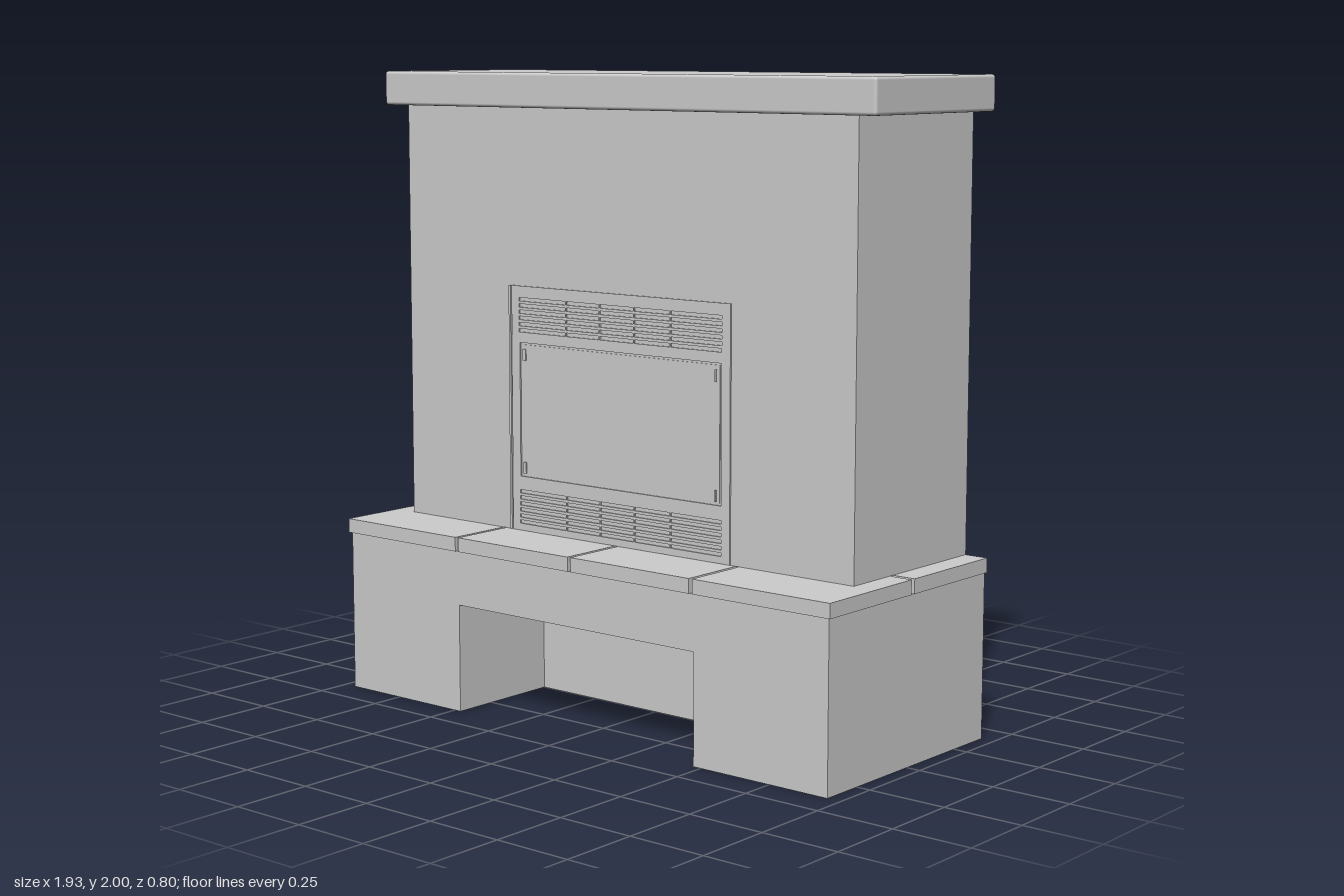
import * as THREE from 'three';
import { RoundedBoxGeometry } from 'three/addons/geometries/RoundedBoxGeometry.js';

const material = new THREE.MeshStandardMaterial({ color: 0xcccccc });

function addMesh(parent, name, geometry, x = 0, y = 0, z = 0) {
  const mesh = new THREE.Mesh(geometry, material);
  mesh.name = name;
  mesh.position.set(x, y, z);
  parent.add(mesh);
  return mesh;
}

// Box given by its limits on each axis
function addBox(parent, name, [x0, x1], [y0, y1], [z0, z1]) {
  return addMesh(parent, name, new THREE.BoxGeometry(x1 - x0, y1 - y0, z1 - z0),
    (x0 + x1) / 2, (y0 + y1) / 2, (z0 + z1) / 2);
}

function rectPoints(x0, x1, y0, y1) {
  return [[x0, y0], [x1, y0], [x1, y1], [x0, y1]].map(([x, y]) => new THREE.Vector2(x, y));
}

function plate(shape, depth) {
  return new THREE.ExtrudeGeometry(shape, { depth, bevelEnabled: false });
}

export function createModel() {
  const model = new THREE.Group();
  model.name = 'fireplace';

  // Plinth: solid rear half, front half with a log niche
  const base = new THREE.Group();
  base.name = 'base';
  model.add(base);
  addBox(base, 'baseRear', [-0.957, 0.955], [0, 0.515], [-0.4, 0]);
  const arch = new THREE.Shape([
    [-0.957, 0], [-0.475, 0], [-0.475, 0.343], [0.472, 0.343],
    [0.472, 0], [0.955, 0], [0.955, 0.515], [-0.957, 0.515],
  ].map(([x, y]) => new THREE.Vector2(x, y)));
  addMesh(base, 'baseFront', plate(arch, 0.392));

  // Hearth slabs in a four by two grid with open joints
  const hearth = new THREE.Group();
  hearth.name = 'hearth';
  model.add(hearth);
  const columns = [[-0.965, -0.482], [-0.47, -0.011], [0.001, 0.46], [0.472, 0.963]];
  const rows = [[-0.4, -0.015], [0, 0.4]];
  for (const xs of columns) {
    for (const zs of rows) addBox(hearth, 'hearthSlab', xs, [0.515, 0.56], zs);
  }

  // Chimney breast and mantel
  addBox(model, 'chimneyBreast', [-0.887, 0.887], [0.56, 1.892], [-0.4, 0.18]);
  addMesh(model, 'mantel', new RoundedBoxGeometry(1.928, 0.108, 0.61, 3, 0.01), 0, 1.946, -0.095);

  // Stove insert: thin plate pierced by two louvre grilles and the door opening
  const insert = new THREE.Group();
  insert.name = 'stoveInsert';
  model.add(insert);
  const front = new THREE.Shape(rectPoints(-0.434, 0.44, 0.561, 1.338));
  const dividers = [-0.405, -0.207, -0.069, 0.069, 0.211, 0.41];
  for (const bottom of [0.583, 1.193]) {
    for (let row = 0; row < 6; row++) {
      const y = bottom + row * 0.0195;
      for (let i = 0; i < 5; i++) {
        front.holes.push(new THREE.Path(
          rectPoints(dividers[i] + 0.002, dividers[i + 1] - 0.002, y, y + 0.011)));
      }
    }
  }
  front.holes.push(new THREE.Path(rectPoints(-0.4, 0.407, 0.735, 1.16)));
  addMesh(insert, 'insertFront', plate(front, 0.005), 0, 0, 0.18);
  addBox(insert, 'insertSideTrim', [-0.446, -0.438], [0.561, 1.338], [0.179, 0.186]);

  // Glass door with four small hinges
  addBox(insert, 'doorGlass', [-0.393, 0.4], [0.742, 1.154], [0.179, 0.183]);
  for (const x of [-0.381, 0.385]) {
    for (const y of [0.763, 1.122]) {
      const half = x < 0 ? 0.006 : 0.003;
      addBox(insert, 'doorHinge', [x - half, x + half], [y - 0.018, y + 0.018], [0.182, 0.187]);
    }
  }

  return model;
}
